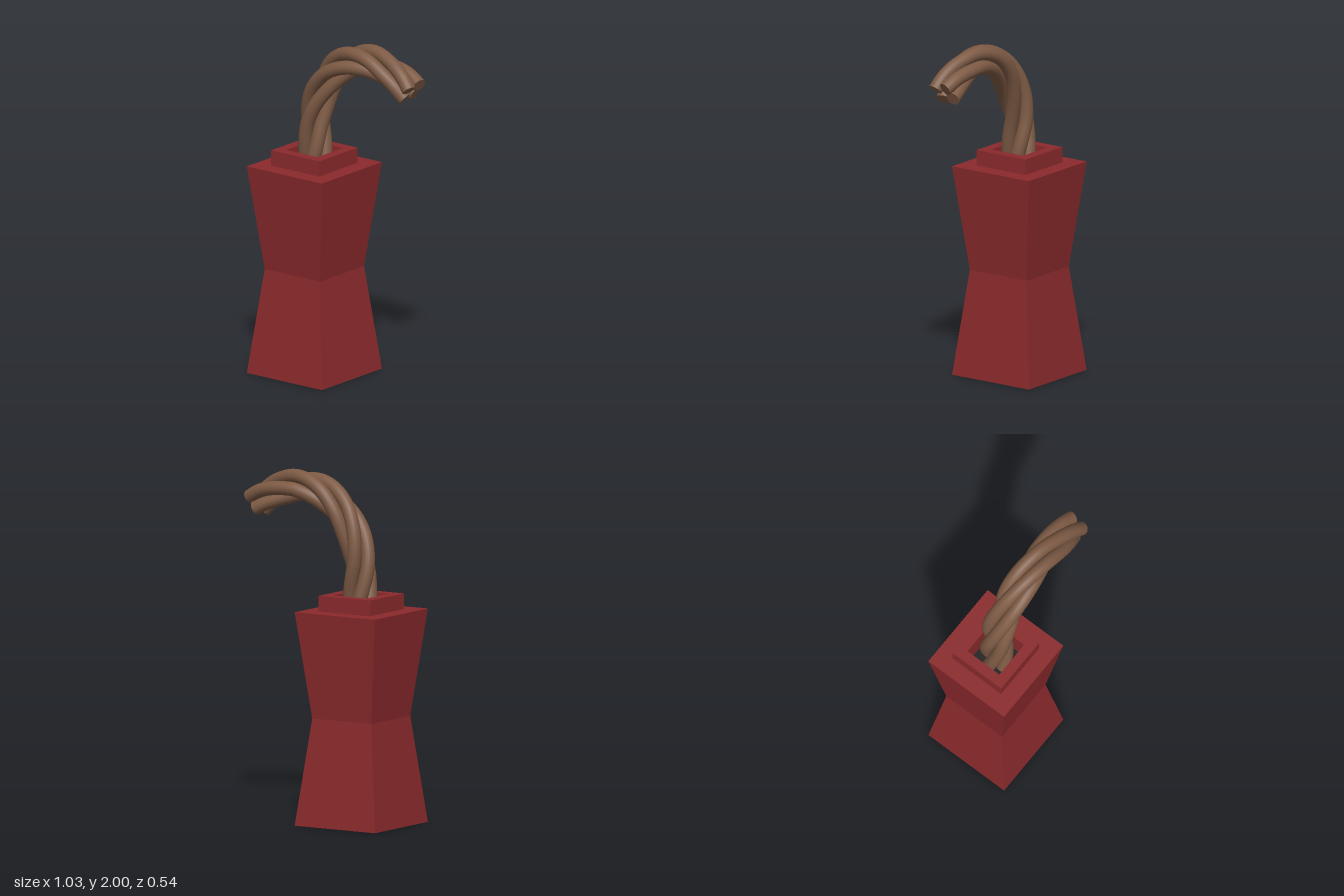
import * as THREE from 'three';
import { mergeGeometries } from 'three/addons/utils/BufferGeometryUtils.js';

const mat = (name, color) => {
  const m = new THREE.MeshStandardMaterial({ color });
  m.name = name;
  return m;
};

const CENTRE_X = -0.255;
const STRANDS = 4, STRAND_RADIUS = 0.04, STRAND_OFFSET = 0.057;
const TWIST = THREE.MathUtils.degToRad(255); // turn per unit of rope length
const END_ANGLE = THREE.MathUtils.degToRad(-31);

// Centre line of the rope, rising from the socket and bending over
const axis = new THREE.CatmullRomCurve3([
  [-0.248, 1.12], [-0.248, 1.31], [-0.247, 1.5], [-0.2, 1.66], [-0.11, 1.795],
  [0.01, 1.878], [0.15, 1.905], [0.29, 1.872], [0.385, 1.828], [0.452, 1.778],
].map(([x, y]) => new THREE.Vector3(x, y, 0)));

// One strand winding around the centre line
class StrandCurve extends THREE.Curve {
  constructor(phase) {
    super();
    this.phase = phase;
  }
  getPoint(t, target = new THREE.Vector3()) {
    const p = axis.getPointAt(t), d = axis.getTangentAt(t);
    const a = END_ANGLE + this.phase - (1 - t) * axis.getLength() * TWIST;
    const n = Math.cos(a) * STRAND_OFFSET;
    return target.set(p.x - d.y * n, p.y + d.x * n, Math.sin(a) * STRAND_OFFSET);
  }
}

// Flat disc closing one end of a strand
function endCap(curve, t) {
  const dir = curve.getTangent(t).multiplyScalar(t === 0 ? -1 : 1);
  const q = new THREE.Quaternion().setFromUnitVectors(new THREE.Vector3(0, 0, 1), dir);
  const p = curve.getPoint(t);
  return new THREE.CircleGeometry(STRAND_RADIUS, 20).applyQuaternion(q).translate(p.x, p.y, p.z);
}

export function createModel() {
  const red = mat('red', 0x8b2a2c);
  const brown = mat('rope brown', 0x7d5a44);
  const dark = mat('dark grey', 0x222222);
  const model = new THREE.Group();

  // Square waisted body, collar and socket from one four-sided profile
  const profile = [
    [0, 0], [0.272, 0], [0.2, 0.61], [0.272, 1.22], [0.174, 1.22],
    [0.174, 1.31], [0.114, 1.31], [0.114, 1.12],
  ].map(([half, y]) => new THREE.Vector2(half * Math.SQRT2, y));
  const bodyGeo = new THREE.LatheGeometry(profile, 4, Math.PI / 4).toNonIndexed();
  bodyGeo.computeVertexNormals();
  const body = new THREE.Mesh(bodyGeo, red);
  body.name = 'body';
  body.position.x = CENTRE_X;
  model.add(body);

  // Dark floor of the socket
  const floor = new THREE.Mesh(new THREE.PlaneGeometry(0.228, 0.228).rotateX(-Math.PI / 2), dark);
  floor.name = 'socketFloor';
  floor.position.set(CENTRE_X, 1.122, 0);
  model.add(floor);

  // Twisted rope
  const rope = new THREE.Group();
  rope.name = 'rope';
  for (let i = 0; i < STRANDS; i++) {
    const curve = new StrandCurve((i / STRANDS) * Math.PI * 2);
    const geo = mergeGeometries([
      new THREE.TubeGeometry(curve, 96, STRAND_RADIUS, 20),
      endCap(curve, 0),
      endCap(curve, 1),
    ]);
    const strand = new THREE.Mesh(geo, brown);
    strand.name = `strand${i + 1}`;
    rope.add(strand);
  }
  model.add(rope);
  return model;
}
